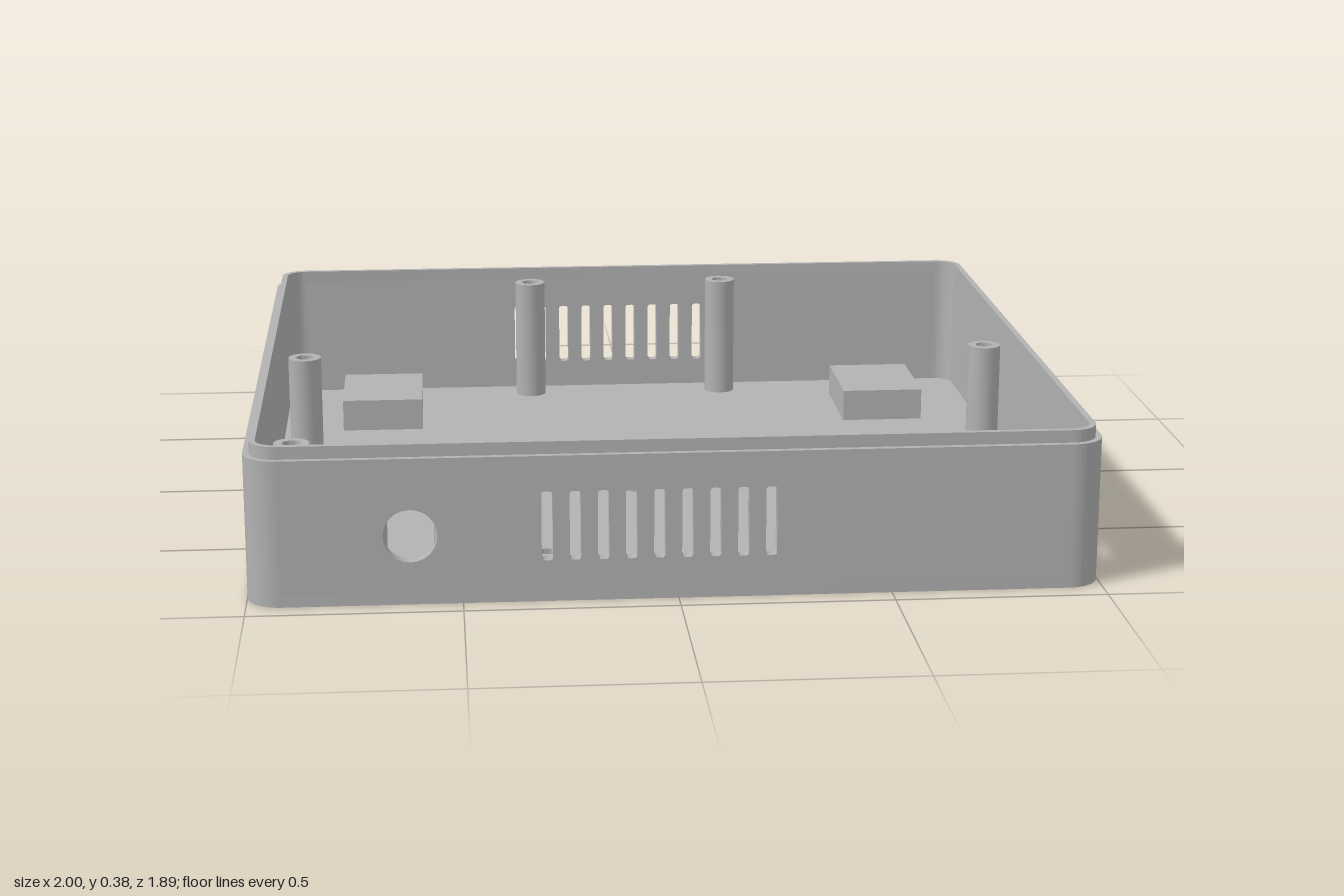
import * as THREE from 'three';
import { toCreasedNormals } from 'three/addons/utils/BufferGeometryUtils.js';

const W = 1, D = 0.945;          // half width and half depth
const WALL = 0.03, R = 0.08;     // wall thickness and corner radius
const FLOOR = 0.025, SHOULDER = 0.35, RIM = 0.38;

// Rounded rectangle outline centred on (cx, cy)
function roundRect(hw, hh, r, cx = 0, cy = 0, Type = THREE.Shape) {
  const s = new Type();
  s.moveTo(cx + hw, cy - hh + r);
  s.lineTo(cx + hw, cy + hh - r);
  s.absarc(cx + hw - r, cy + hh - r, r, 0, Math.PI / 2);
  s.lineTo(cx - hw + r, cy + hh);
  s.absarc(cx - hw + r, cy + hh - r, r, Math.PI / 2, Math.PI);
  s.lineTo(cx - hw, cy - hh + r);
  s.absarc(cx - hw + r, cy - hh + r, r, Math.PI, Math.PI * 1.5);
  s.lineTo(cx + hw - r, cy - hh);
  s.absarc(cx + hw - r, cy - hh + r, r, Math.PI * 1.5, Math.PI * 2);
  return s;
}

function rect(x0, y0, x1, y1, Type = THREE.Shape) {
  const s = new Type();
  s.moveTo(x0, y0);
  s.lineTo(x1, y0);
  s.lineTo(x1, y1);
  s.lineTo(x0, y1);
  s.closePath();
  return s;
}

function circle(r, cx = 0, cy = 0, Type = THREE.Path) {
  const s = new Type();
  s.absarc(cx, cy, r, 0, Math.PI * 2);
  return s;
}

function extrude(shape, depth) {
  const g = new THREE.ExtrudeGeometry(shape, { depth, bevelEnabled: false, curveSegments: 12 });
  return toCreasedNormals(g, 0.6);
}

// Plan outline (x, -z) raised from y0 to y1
function raise(shape, y0, y1) {
  return extrude(shape, y1 - y0).rotateX(-Math.PI / 2).translate(0, y0, 0);
}

export function createModel() {
  const model = new THREE.Group();
  const grey = new THREE.MeshStandardMaterial({ color: 0xb2b2b2 });
  grey.name = 'grey plastic';
  const add = (name, geometry) => {
    const mesh = new THREE.Mesh(geometry, grey);
    mesh.name = name;
    model.add(mesh);
    return mesh;
  };

  // Floor with two keyhole hangers
  const floor = roundRect(W, D, R);
  for (const x of [-0.7, 0.7]) {
    const r = 0.055, h = 0.02, cy = 0.575, end = 0.69;
    const a = Math.asin(h / r);
    const key = new THREE.Path();
    key.absarc(x, cy, r, Math.PI / 2 + a, Math.PI * 2.5 - a);
    key.lineTo(x + h, end);
    key.absarc(x, end, h, 0, Math.PI);
    key.closePath();
    floor.holes.push(key);
  }
  add('floor', raise(floor, 0, FLOOR));

  // Hollow covers over the keyholes
  for (const x of [-0.7, 0.7]) {
    const sides = rect(x - 0.11, 0.47, x + 0.11, 0.76);
    sides.holes.push(rect(x - 0.085, 0.495, x + 0.085, 0.735, THREE.Path));
    add('hangerCoverSides', raise(sides, FLOOR, 0.09));
    add('hangerCoverTop', raise(rect(x - 0.11, 0.47, x + 0.11, 0.76), 0.09, 0.11));
  }

  // Front and back walls with vent slots
  for (const side of ['front', 'back']) {
    const wall = rect(-W + R, FLOOR, W - R, SHOULDER);
    for (let i = 0; i < 9; i++) {
      wall.holes.push(roundRect(0.013, 0.083, 0.008, -0.305 + i * 0.065, 0.182, THREE.Path));
    }
    if (side === 'front') wall.holes.push(circle(0.063, -0.62, 0.165));
    add(side + 'Wall', extrude(wall, WALL)).position.z = side === 'front' ? D - WALL : -D;
  }

  // Left wall in two layers: socket recess outside, plug slot inside
  const outer = rect(-D + R, FLOOR, D - R, SHOULDER);
  outer.holes.push(rect(-0.79, 0.076, -0.648, 0.155, THREE.Path));
  const inner = rect(-D + R, FLOOR, D - R, SHOULDER);
  inner.holes.push(roundRect(0.056, 0.024, 0.015, -0.721, 0.114, THREE.Path));
  add('leftWallOuter', extrude(outer, WALL / 2).rotateY(Math.PI / 2)).position.x = W - WALL / 2;
  add('leftWallInner', extrude(inner, WALL / 2).rotateY(Math.PI / 2)).position.x = W - WALL;

  // Plain right wall
  const plain = rect(-D + R, FLOOR, D - R, SHOULDER);
  add('rightWall', extrude(plain, WALL).rotateY(Math.PI / 2)).position.x = -W;

  // Rounded corners
  [[1, 1], [-1, 1], [-1, -1], [1, -1]].forEach(([sx, sy], i) => {
    const a = i * Math.PI / 2, cx = sx * (W - R), cy = sy * (D - R);
    const s = new THREE.Shape();
    s.absarc(cx, cy, R, a, a + Math.PI / 2);
    s.absarc(cx, cy, R - WALL, a + Math.PI / 2, a, true);
    s.closePath();
    add('corner', raise(s, FLOOR, SHOULDER));
  });

  // Stepped lip around the rim
  const lip = roundRect(W - WALL / 2, D - WALL / 2, R - WALL / 2);
  lip.holes.push(roundRect(W - WALL, D - WALL, R - WALL, 0, 0, THREE.Path));
  add('lip', raise(lip, SHOULDER, RIM));

  // Hollow screw posts: x, z, radius, top
  const posts = [
    [-0.275, -0.84, 0.042, 0.355], [0.275, -0.84, 0.042, 0.355],
    [-0.89, 0, 0.042, 0.355], [0.89, 0, 0.042, 0.355], [-0.89, 0.81, 0.042, 0.355],
    [-0.04, 0.14, 0.035, 0.08], [0.915, 0.14, 0.035, 0.08],
    [0.915, 0.82, 0.035, 0.08], [-0.3, 0.82, 0.035, 0.08],
    [-0.71, 0.74, 0.035, 0.15], [-0.53, 0.74, 0.035, 0.15],
  ];
  for (const [x, z, r, top] of posts) {
    const ring = circle(r, 0, 0, THREE.Shape);
    ring.holes.push(circle(0.022));
    add('screwPost', raise(ring, FLOOR, top)).position.set(x, 0, z);
  }

  return model;
}
